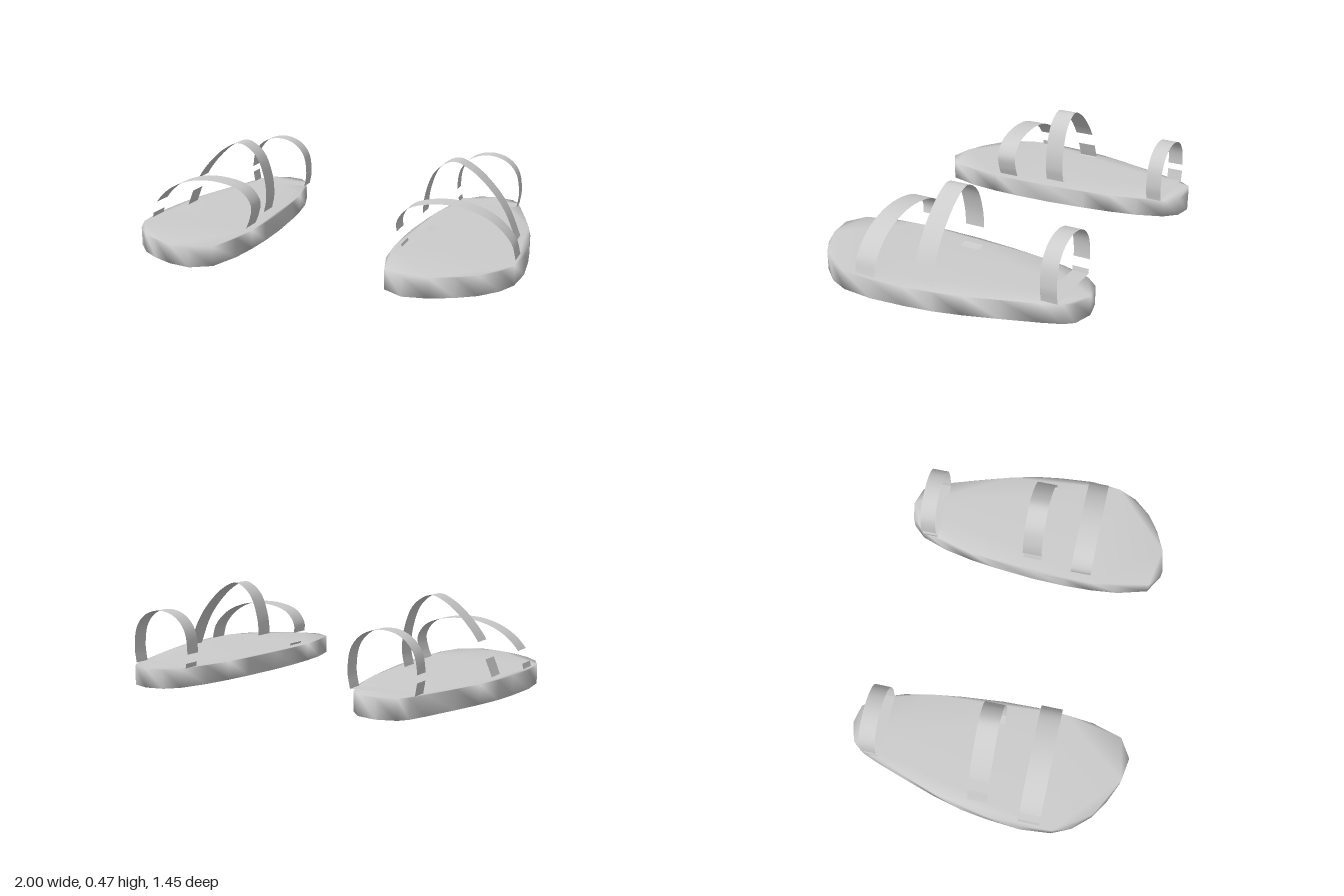
import * as THREE from 'three';
import { mergeVertices } from 'three/addons/utils/BufferGeometryUtils.js';

const SOLE_TOP = 0.097;

// Sole outline for the left foot as [x, z], from the heel around the inner edge to the toe and back
const OUTLINE = [
  [0.655, -0.725], [0.56, -0.705], [0.5, -0.64], [0.45, -0.5], [0.42, -0.35], [0.4, -0.2],
  [0.38, 0.02], [0.375, 0.2], [0.38, 0.35], [0.395, 0.5], [0.44, 0.66], [0.54, 0.72],
  [0.66, 0.7], [0.77, 0.65], [0.86, 0.59], [0.94, 0.5], [0.985, 0.4], [1, 0.24],
  [0.985, 0.06], [0.965, -0.08], [0.93, -0.22], [0.88, -0.38], [0.82, -0.56], [0.785, -0.65], [0.75, -0.695],
];

// Each strap: z range, arch as [x, y] from the inner base to the outer base,
// height of the strip lying on the sole, and the open gap on the inner or outer side
const STRAPS = [
  {
    name: 'toeStrap', z: [0.225, 0.335], floor: 0.102, innerGap: [0.11, 0.175], outerGap: [0.12, 0.19],
    arch: [[0.42, 0.1], [0.4, 0.15], [0.39, 0.22], [0.44, 0.29], [0.56, 0.328], [0.72, 0.325], [0.86, 0.27], [0.95, 0.18], [0.975, 0.1]],
  },
  {
    name: 'instepStrap', z: [-0.052, 0.052], floor: 0.09, innerGap: [0.11, 0.2], outerGap: [0.18, 0.265],
    arch: [[0.455, 0.105], [0.44, 0.18], [0.45, 0.3], [0.5, 0.42], [0.59, 0.475], [0.68, 0.44], [0.79, 0.34], [0.86, 0.24], [0.92, 0.1]],
  },
  {
    name: 'heelStrap', z: [-0.63, -0.547], floor: 0.102, innerGap: [0.125, 0.165], outerGap: [0.16, 0.195],
    arch: [[0.475, 0.1], [0.462, 0.18], [0.48, 0.29], [0.54, 0.355], [0.635, 0.38], [0.73, 0.355], [0.79, 0.29], [0.81, 0.18], [0.8, 0.1]],
  },
];

// Soft-shaded slab: welding the corners blends the normals over the edges
function soleGeometry(side) {
  const shape = new THREE.Shape(OUTLINE.map(([x, z]) => new THREE.Vector2(side * x, -z)));
  let geo = new THREE.ExtrudeGeometry(shape, { depth: SOLE_TOP, bevelEnabled: false });
  geo.rotateX(-Math.PI / 2);
  geo.deleteAttribute('normal');
  geo.deleteAttribute('uv');
  geo = mergeVertices(geo, 1e-4);
  geo.computeVertexNormals();
  return geo;
}

// Ribbon of zero thickness swept along z; breaks where skip(a, b) holds
function ribbonGeometry(path, [z0, z1], skip) {
  const positions = [];
  const index = [];
  path.forEach(([x, y], i) => {
    positions.push(x, y, z0, x, y, z1);
    if (i + 1 < path.length && !skip(path[i], path[i + 1])) {
      const a = 2 * i;
      index.push(a, a + 1, a + 2, a + 1, a + 3, a + 2);
    }
  });
  const geo = new THREE.BufferGeometry();
  geo.setAttribute('position', new THREE.Float32BufferAttribute(positions, 3));
  geo.setIndex(index);
  geo.computeVertexNormals();
  return geo;
}

function strapGroup(strap, side, material) {
  const group = new THREE.Group();
  group.name = strap.name;

  // Arch over the foot, open on the model's right side
  const curve = new THREE.CatmullRomCurve3(strap.arch.map(([x, y]) => new THREE.Vector3(x, y, 0)));
  const points = curve.getSpacedPoints(64).map((p) => [p.x, p.y]);
  const middle = (points[0][0] + points[64][0]) / 2;
  const gap = side > 0 ? strap.innerGap : strap.outerGap;
  const skip = (a, b) => {
    const y = (a[1] + b[1]) / 2;
    const onGapSide = side > 0 ? a[0] < middle : a[0] > middle;
    return onGapSide && y > gap[0] && y < gap[1];
  };
  const mirror = (path) => {
    const p = path.map(([x, y]) => [side * x, y]);
    return side > 0 ? p.reverse() : p;
  };
  const archPath = mirror(points);
  const skipMirrored = (a, b) => skip([side * a[0], a[1]], [side * b[0], b[1]]);
  const arch = new THREE.Mesh(ribbonGeometry(archPath, strap.z, skipMirrored), material);
  arch.name = strap.name + 'Arch';

  // Strip lying across the sole
  const [inner, outer] = [strap.arch[0], strap.arch[strap.arch.length - 1]];
  const floorPath = mirror([outer, [outer[0] - 0.04, strap.floor], [inner[0] + 0.08, strap.floor], inner]);
  const base = new THREE.Mesh(ribbonGeometry(floorPath, strap.z, () => false), material);
  base.name = strap.name + 'Base';

  group.add(arch, base);
  return group;
}

export function createModel() {
  const soleGrey = new THREE.MeshStandardMaterial({ color: 0xcccccc });
  soleGrey.name = 'lightGrey';
  soleGrey.side = THREE.DoubleSide;

  const model = new THREE.Group();
  model.name = 'sandals';
  for (const side of [1, -1]) {
    const sandal = new THREE.Group();
    sandal.name = side > 0 ? 'leftSandal' : 'rightSandal';
    const sole = new THREE.Mesh(soleGeometry(side), soleGrey);
    sole.name = 'sole';
    sandal.add(sole, ...STRAPS.map((strap) => strapGroup(strap, side, soleGrey)));
    model.add(sandal);
  }
  return model;
}
